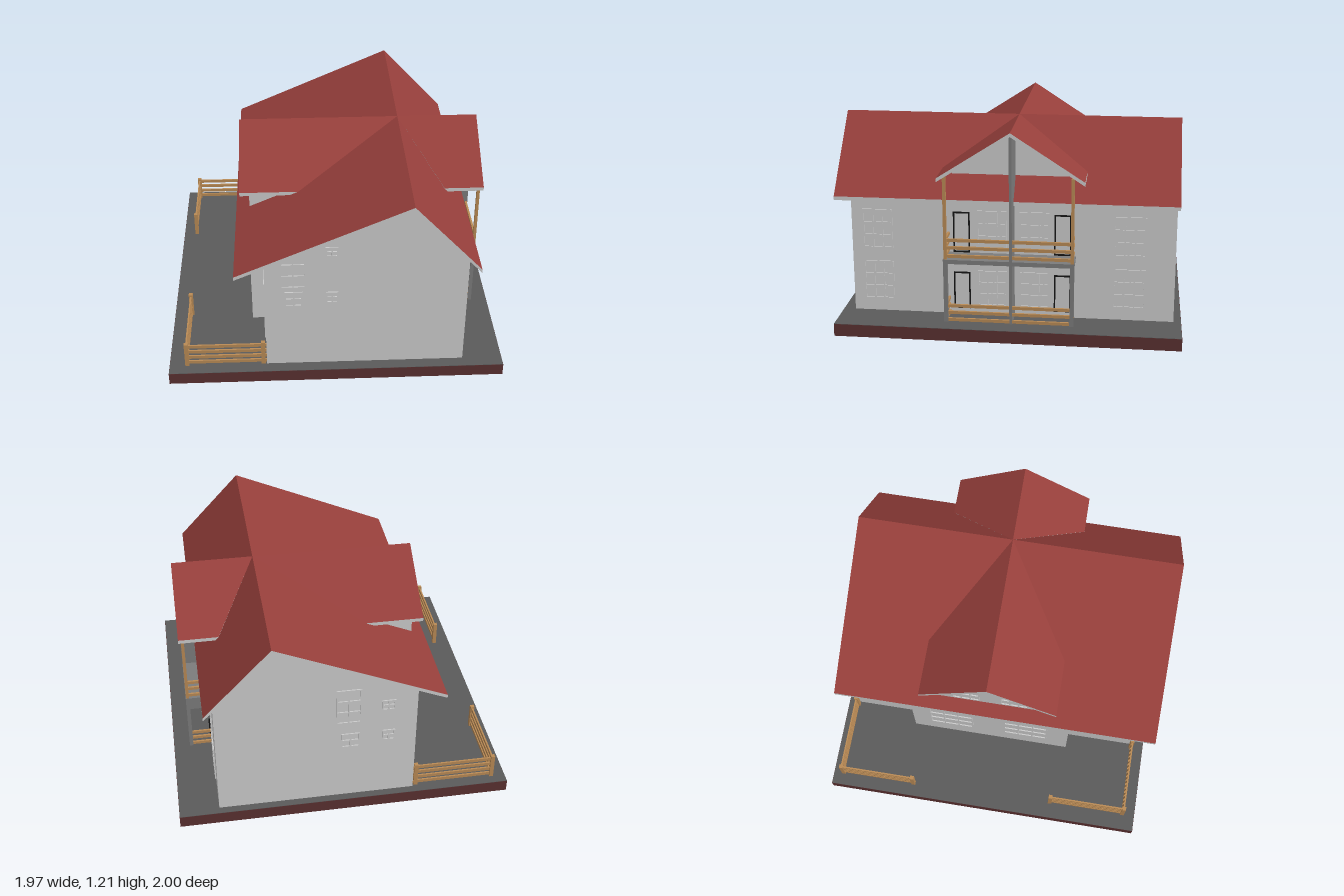
import * as THREE from 'three';

const mat = (color, side = THREE.FrontSide) => new THREE.MeshStandardMaterial({ color, side, flatShading: true });
const GREY = mat(0xcccccc), DARK = mat(0x7c7c7c), RED = mat(0x963f3b), WOOD = mat(0xb98a55);
const BLACK = mat(0x151515), PAVING = mat(0x5a5a5a), BASE = mat(0x5a3030);

const GROUND = 0.075, RIDGE_X = 0.415, RIDGE_Y = 1.205, MID_Z = -0.027;

export function createModel() {
  const house = new THREE.Group();
  house.name = 'house';

  const add = (name, geometry, material, parent = house) => {
    const mesh = new THREE.Mesh(geometry, material);
    mesh.name = name;
    parent.add(mesh);
    return mesh;
  };

  // Box given by its extents on each axis
  const box = (name, material, [x0, x1], [y0, y1], [z0, z1], parent = house) => {
    const mesh = add(name, new THREE.BoxGeometry(Math.abs(x1 - x0), y1 - y0, Math.abs(z1 - z0)), material, parent);
    mesh.position.set((x0 + x1) / 2, (y0 + y1) / 2, (z0 + z1) / 2);
    return mesh;
  };

  const extrude = (points, depth) => new THREE.ExtrudeGeometry(
    new THREE.Shape(points.map(([x, y]) => new THREE.Vector2(x, y))), { depth, bevelEnabled: false });

  // Prism along z from an (x, y) outline
  const prismZ = (name, points, z0, z1, material) =>
    add(name, extrude(points, z1 - z0).translate(0, 0, z0), material);

  // Prism along x from a (z, y) outline
  const prismX = (name, points, x0, x1, material) =>
    add(name, extrude(points.map(([z, y]) => [-z, y]), x1 - x0).rotateY(Math.PI / 2).translate(x0, 0, 0), material);

  // Sloping convex roof panel: red covering over a grey slab
  const roofPanel = (name, corners, thick = 0.022) => {
    let top = corners.map(c => new THREE.Vector3(...c));
    const normal = new THREE.Vector3().crossVectors(
      top[1].clone().sub(top[0]), top[2].clone().sub(top[0]));
    if (normal.y < 0) top.reverse();
    const low = top.map(p => p.clone().setY(p.y - thick));
    const cover = [], slab = [];
    const tri = (list, a, b, c) => [a, b, c].forEach(p => list.push(p.x, p.y, p.z));
    for (let i = 1; i < top.length - 1; i++) {
      tri(cover, top[0], top[i], top[i + 1]);
      tri(slab, low[0], low[i + 1], low[i]);
    }
    top.forEach((p, i) => {
      const j = (i + 1) % top.length;
      tri(slab, p, low[i], low[j]);
      tri(slab, p, low[j], top[j]);
    });
    [[cover, RED, 'Covering'], [slab, GREY, 'Slab']].forEach(([list, material, suffix]) => {
      const g = new THREE.BufferGeometry();
      g.setAttribute('position', new THREE.Float32BufferAttribute(list, 3));
      g.computeVertexNormals();
      add(name + suffix, g, material);
    });
  };

  // Base slab with paving
  box('base', BASE, [-0.985, 0.985], [0, 0.073], [-1, 0.985]);
  box('paving', PAVING, [-0.984, 0.984], [0.073, GROUND], [-0.999, 0.984]);

  // Main walls with gable ends, and the bay on the long low side
  prismZ('mainWalls', [[-0.41, GROUND], [0.75, GROUND], [0.75, 0.817], [RIDGE_X, 1.183], [-0.41, 0.815]],
    -0.955, 0.915, GREY);
  prismZ('bay', [[-0.5, GROUND], [-0.4, GROUND], [-0.4, 0.815], [-0.5, 0.775]], -0.53, 0.48, GREY);

  // Main roof
  for (const [name, x, y] of [['lowSide', -0.576, 0.775], ['balconySide', 0.805, 0.785]]) {
    roofPanel(name + 'Roof', [[x, y, -0.97], [x, y, 1], [RIDGE_X, RIDGE_Y, 1], [RIDGE_X, RIDGE_Y, -0.97]]);
  }

  // Cross gables: a wall prism under two panels that run back to the main ridge
  const crossGable = (name, xEnd, xValley, xWall, bottom) => {
    for (const s of [-1, 1]) {
      const eave = MID_Z + s * 0.415;
      roofPanel(name + 'Roof', [[xEnd, RIDGE_Y, MID_Z], [RIDGE_X, RIDGE_Y, MID_Z],
        [xValley, 0.937, eave], [xEnd, 0.937, eave]]);
    }
    const half = 0.363, y = RIDGE_Y - 0.024 - half * 0.646;
    prismX(name + 'Wall', [[MID_Z + half, bottom], [MID_Z + half, y], [MID_Z, RIDGE_Y - 0.023],
      [MID_Z - half, y], [MID_Z - half, bottom]], Math.min(xWall, 0.4), Math.max(xWall, 0.4), GREY);
  };
  crossGable('dormer', -0.55, -0.2, -0.495, 0.8);
  crossGable('balconyGable', 0.9, 0.666, 0.69, 0.91);

  // Frame with glazing bars, facing +z before it is turned to its wall
  const frame = (name, turn, plane, along, [y0, y1], width, cols, rows, material = GREY) => {
    const g = new THREE.Group(), h = y1 - y0, t = 0.008;
    g.name = name;
    const d = [-0.004, 0.007];
    for (let i = 0; i <= cols; i++) {
      const x = -width / 2 + t / 2 + (width - t) * i / cols;
      box('upright', material, [x - t / 2, x + t / 2], [-h / 2, h / 2], d, g);
    }
    for (let i = 0; i <= rows; i++) {
      const y = -h / 2 + t / 2 + (h - t) * i / rows;
      box('crossbar', material, [-width / 2, width / 2], [y - t / 2, y + t / 2], d, g);
    }
    g.rotation.y = turn * Math.PI / 2;
    g.position.set(turn % 2 ? plane : along, (y0 + y1) / 2, turn % 2 ? along : plane);
    house.add(g);
  };

  // Windows and doors on the balcony side, two storeys
  for (const [y0, y1, d0, d1] of [[0.15, 0.385, 0.11, 0.335], [0.465, 0.7, 0.457, 0.7]]) {
    frame('sideWindow', 1, 0.75, 0.763, [y0, y1], 0.175, 3, 3);
    frame('sideWindow', 1, 0.75, -0.695, [y0, y1], 0.185, 3, 3);
    for (const z of [0.095, -0.15]) frame('balconyWindow', 1, 0.75, z, [d0 + 0.02, d1 + 0.01], 0.17, 3, 3);
    for (const z of [0.272, -0.312]) frame('balconyDoor', 1, 0.75, z, [d0, d1], 0.097, 1, 1, BLACK);
  }

  // Tall windows on the low side, and the dormer pair
  for (const z of [-0.725, 0.73]) frame('tallWindow', -1, -0.41, z, [0.23, 0.62], 0.27, 3, 4);
  for (const z of [-0.275, 0.205]) frame('bayWindow', -1, -0.5, z, [0.23, 0.62], 0.28, 3, 4);
  for (const z of [-0.165, 0.13]) frame('dormerWindow', -1, -0.495, z, [0.84, 1.0], 0.17, 3, 2);

  // Windows in the two gable ends
  frame('gableWindow', 0, 0.915, -0.247, [0.63, 0.87], 0.145, 2, 3);
  frame('gableWindow', 0, 0.915, -0.245, [0.5, 0.6], 0.1, 2, 2);
  frame('smallWindow', 0, 0.915, -0.027, [0.84, 0.905], 0.07, 2, 2);
  frame('smallWindow', 0, 0.915, -0.025, [0.52, 0.595], 0.07, 2, 2);
  frame('gableWindow', 2, -0.955, -0.012, [0.63, 0.87], 0.145, 2, 3);
  frame('gableWindow', 2, -0.955, -0.025, [0.45, 0.55], 0.11, 2, 2);
  frame('smallWindow', 2, -0.955, -0.242, [0.7, 0.77], 0.08, 2, 2);
  frame('smallWindow', 2, -0.955, -0.247, [0.475, 0.55], 0.075, 2, 2);

  // Balcony floor, dividing wall and corner posts
  const sides = [0.347, -0.375];
  box('balconyFloor', DARK, [0.745, 0.887], [0.43, 0.455], [-0.387, 0.36]);
  prismZ('balconyDivider', [[0.68, 0.85], [0.745, 0.8], [0.745, GROUND], [0.887, GROUND], [0.887, 1.18], [0.68, 1.18]],
    MID_Z - 0.008, MID_Z + 0.008, DARK);
  for (const z of sides) {
    box('lowerPost', DARK, [0.865, 0.887], [GROUND, 0.43], [z - 0.012, z + 0.012]);
    box('upperPost', WOOD, [0.867, 0.885], [0.455, 0.95], [z - 0.009, z + 0.009]);
  }

  // Balcony and terrace railings
  for (const y of [0.088, 0.132, 0.173, 0.475, 0.525, 0.57]) {
    box('balconyRail', WOOD, [0.87, 0.882], [y - 0.009, y + 0.009], [sides[1], sides[0]]);
    for (const z of sides) box('balconySideRail', WOOD, [0.75, 0.876], [y - 0.009, y + 0.009], [z - 0.006, z + 0.006]);
  }

  // Garden fences at the two low-side corners
  for (const [x, zCorner, zEnd] of [[-0.88, 0.905, 0.43], [-0.9, -0.935, -0.47]]) {
    for (const [px, pz] of [[x, zCorner], [x, zEnd], [-0.43, zCorner]]) {
      box('fencePost', WOOD, [px - 0.012, px + 0.012], [GROUND, 0.232], [pz - 0.012, pz + 0.012]);
    }
    for (const y of [0.095, 0.133, 0.172, 0.21]) {
      box('fenceRail', WOOD, [x, -0.41], [y - 0.01, y + 0.01], [zCorner - 0.005, zCorner + 0.005]);
      box('fenceRail', WOOD, [x - 0.005, x + 0.005], [y - 0.01, y + 0.01], [zCorner, zEnd]);
    }
  }

  return house;
}
